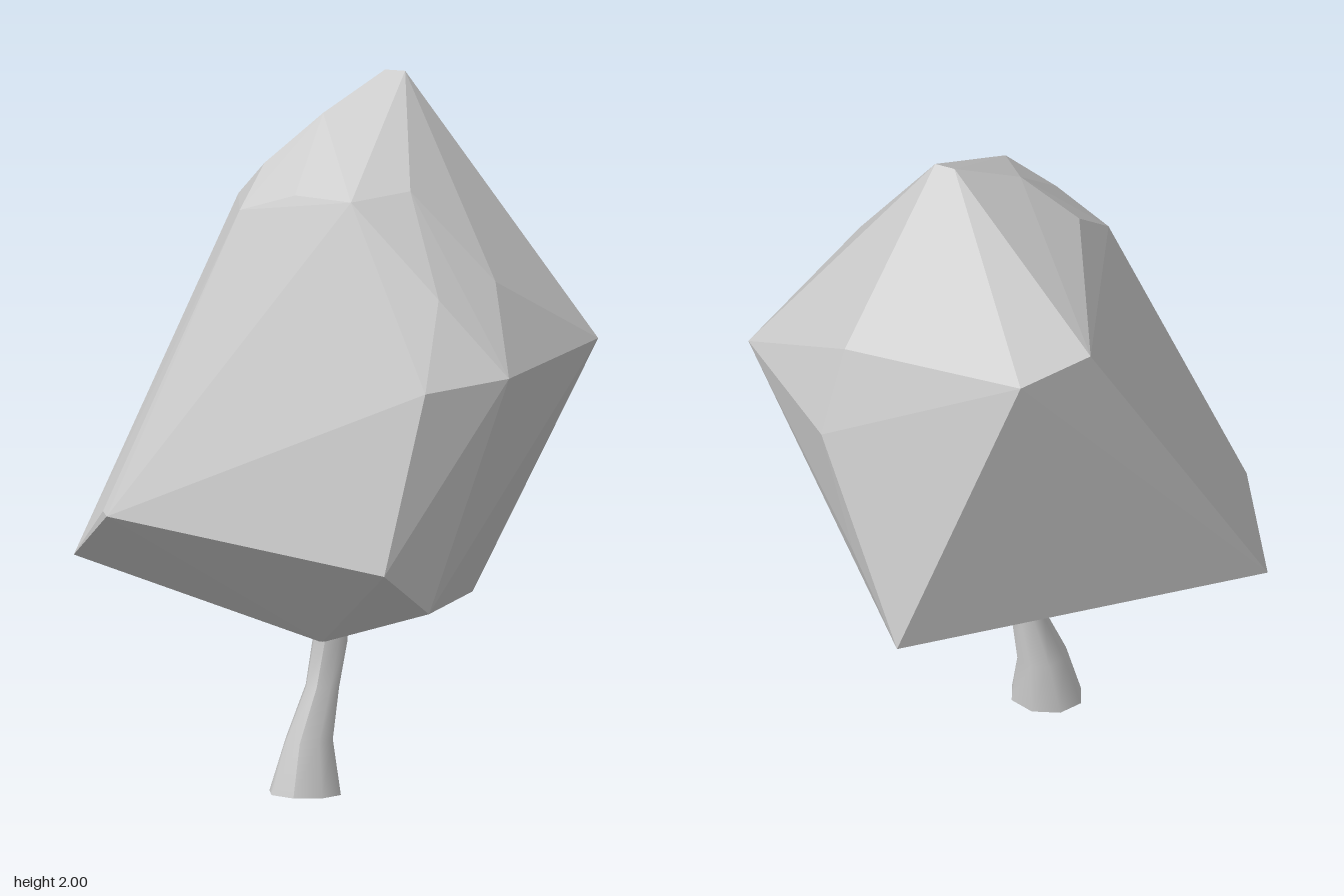
import * as THREE from 'three';
import { ConvexGeometry } from 'three/addons/geometries/ConvexGeometry.js';

const grey = new THREE.MeshStandardMaterial({ color: 0xcccccc, side: THREE.DoubleSide });
grey.name = 'pale grey';

// Faceted crown: corners from the tip down to the pointed underside
function crownGeometry() {
  const corners = [
    // tip and upper shoulders
    [0.14, 2.0, -0.13], [0.08, 2.0, -0.13], [-0.04, 1.9, 0.05],
    [-0.19, 1.76, 0.12], [-0.21, 1.65, 0.27], [-0.03, 1.71, 0.31],
    [0.165, 1.715, 0.385], [0.29, 1.73, 0.24], [0.53, 1.48, 0.2], [0.44, 1.46, 0.42],
    // back shoulders
    [-0.41, 1.59, -0.27], [-0.27, 1.54, -0.435], [0.27, 1.53, -0.45],
    // waist
    [0.46, 1.22, 0.585], [0.645, 1.245, 0.405], [0.705, 1.265, -0.165],
    [0.305, 1.28, -0.53], [0.2, 0.92, -0.54],
    // lower rim
    [0.355, 0.7, 0.635], [0.44, 0.575, 0.5], [0.4, 0.555, 0.03], [0.02, 0.7, -0.635],
    [-0.71, 0.63, 0.26], [-0.55, 0.8, 0.46], [-0.53, 0.79, 0.485],
    // underside point
    [0.04, 0.43, 0.28],
  ];
  return new ConvexGeometry(corners.map((c) => new THREE.Vector3(...c)));
}

// Bent trunk: an open tube through elliptical rings, wide at the foot
function trunkGeometry() {
  // height, centre x, centre z, radius x, radius z
  const rings = [
    [0, -0.005, 0.295, 0.107, 0.097],
    [0.15, 0.0, 0.275, 0.07, 0.078],
    [0.3, 0.027, 0.24, 0.05, 0.048],
    [0.43, 0.05, 0.242, 0.052, 0.044],
    [0.56, 0.06, 0.242, 0.052, 0.044],
  ];
  const sides = 8;
  const geometry = new THREE.CylinderGeometry(1, 1, 1, sides, rings.length - 1, true);
  const p = geometry.attributes.position;
  for (let i = 0; i < p.count; i++) {
    const [y, cx, cz, rx, rz] = rings[Math.round((p.getY(i) + 0.5) * (rings.length - 1))];
    p.setXYZ(i, cx + p.getX(i) * rx, y, cz + p.getZ(i) * rz);
  }
  geometry.computeVertexNormals();
  return geometry;
}

export function createModel() {
  const tree = new THREE.Group();
  tree.name = 'tree';
  const add = (name, geometry) => {
    const mesh = new THREE.Mesh(geometry, grey);
    mesh.name = name;
    tree.add(mesh);
  };
  add('crown', crownGeometry());
  add('trunk', trunkGeometry());
  return tree;
}
